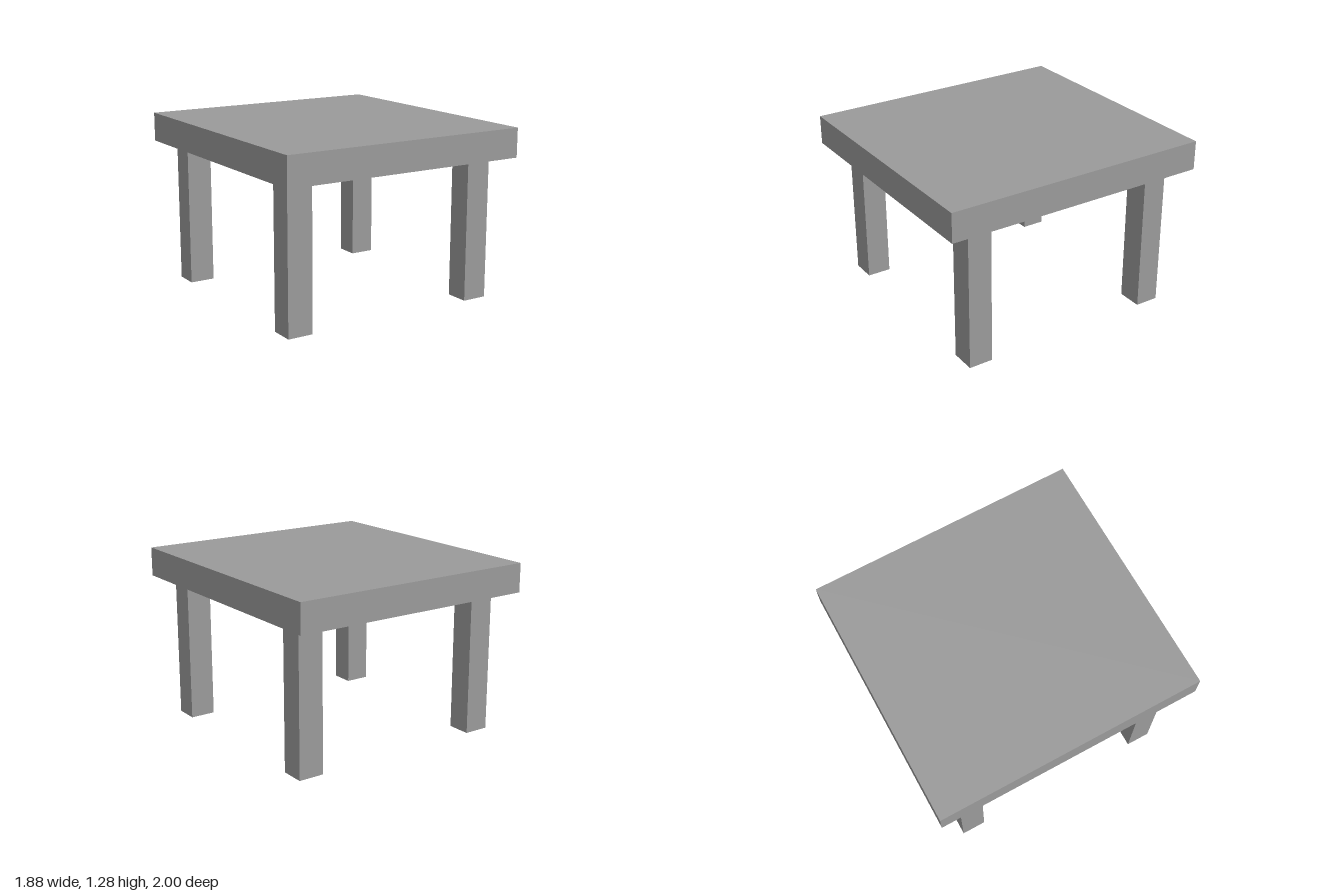
import * as THREE from 'three';

export function createModel() {
  const group = new THREE.Group();
  const material = new THREE.MeshStandardMaterial({ color: 0x9a9a9a, flatShading: true });

  // Adds a named box standing on height y
  function addBox(name, w, h, d, x, y, z) {
    const mesh = new THREE.Mesh(new THREE.BoxGeometry(w, h, d), material);
    mesh.name = name;
    mesh.position.set(x, y + h / 2, z);
    group.add(mesh);
  }

  const legHeight = 1.062;

  // Thick slab top
  addBox('tableTop', 1.88, 0.215, 2, 0, legHeight, 0);

  // Four square legs, set in from the corners
  for (const [side, sx] of [['Left', 1], ['Right', -1]]) {
    for (const [end, sz] of [['front', 1], ['back', -1]]) {
      addBox(`${end}${side}Leg`, 0.188, legHeight, 0.178, sx * 0.743, 0, sz * 0.733);
    }
  }

  return group;
}
